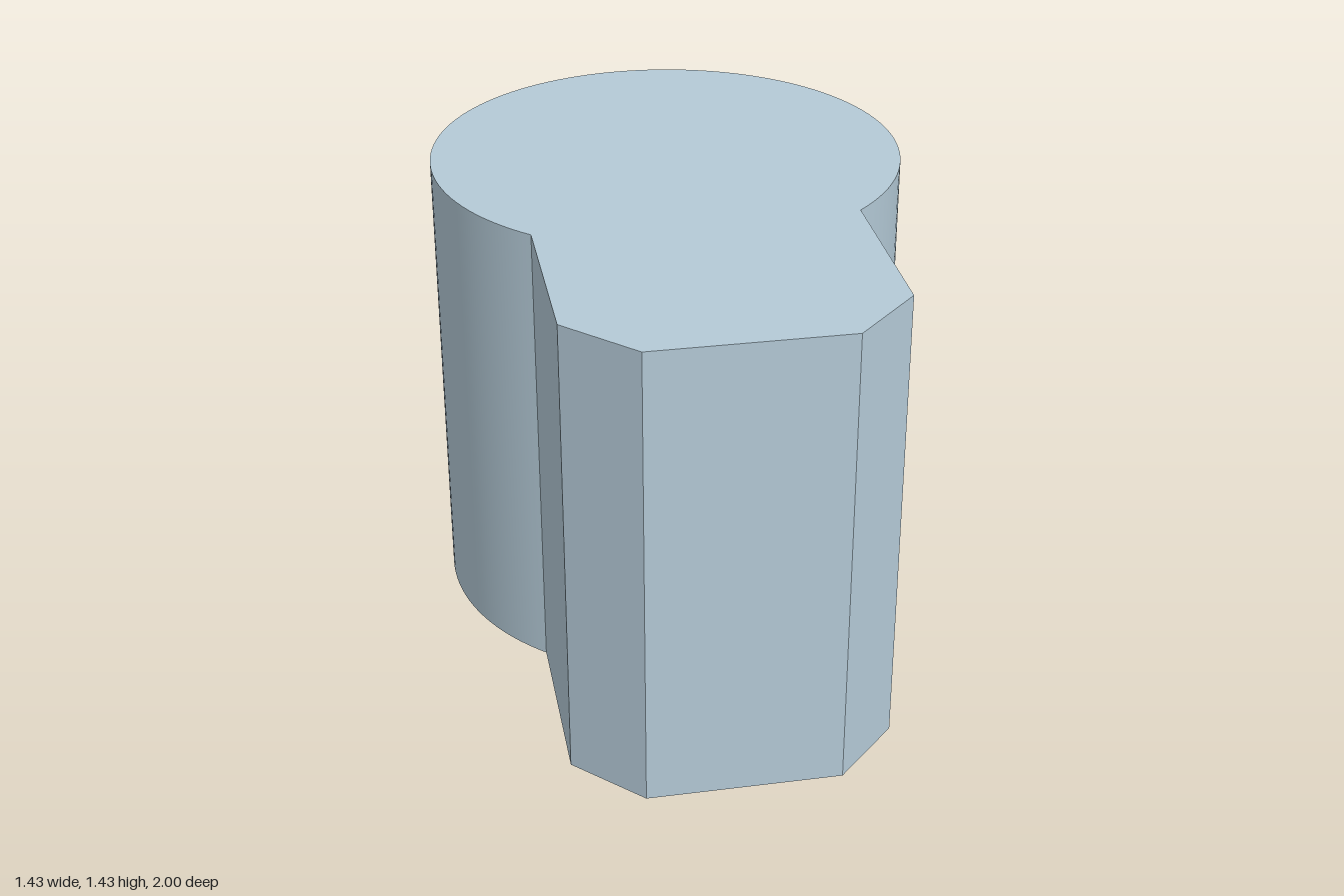
import * as THREE from 'three';
import { toCreasedNormals } from 'three/addons/utils/BufferGeometryUtils.js';

export function createModel() {
  const model = new THREE.Group();
  const paleBlue = new THREE.MeshStandardMaterial({ color: 0xb4cad7 });
  paleBlue.name = 'paleBlue';

  const radius = 0.714, centreZ = -0.286, height = 1.429;
  const halfWidth = 0.476, chamfer = 0.19;

  // Keyhole outline in plan, with shape y pointing to the back
  const start = -Math.acos(halfWidth / radius);
  const outline = new THREE.Shape();
  outline.moveTo(-halfWidth + chamfer, -1);
  outline.lineTo(halfWidth - chamfer, -1);
  outline.lineTo(halfWidth, -1 + chamfer);
  outline.absarc(0, -centreZ, radius, start, Math.PI - start, false);
  outline.lineTo(-halfWidth, -1 + chamfer);
  outline.closePath();

  // Upright block: round back, chamfered straight front
  const solid = new THREE.ExtrudeGeometry(outline, { depth: height, bevelEnabled: false, curveSegments: 48 });
  solid.rotateX(-Math.PI / 2);
  const body = new THREE.Mesh(toCreasedNormals(solid, Math.PI / 6), paleBlue);
  body.name = 'keyholeBlock';
  model.add(body);
  return model;
}
